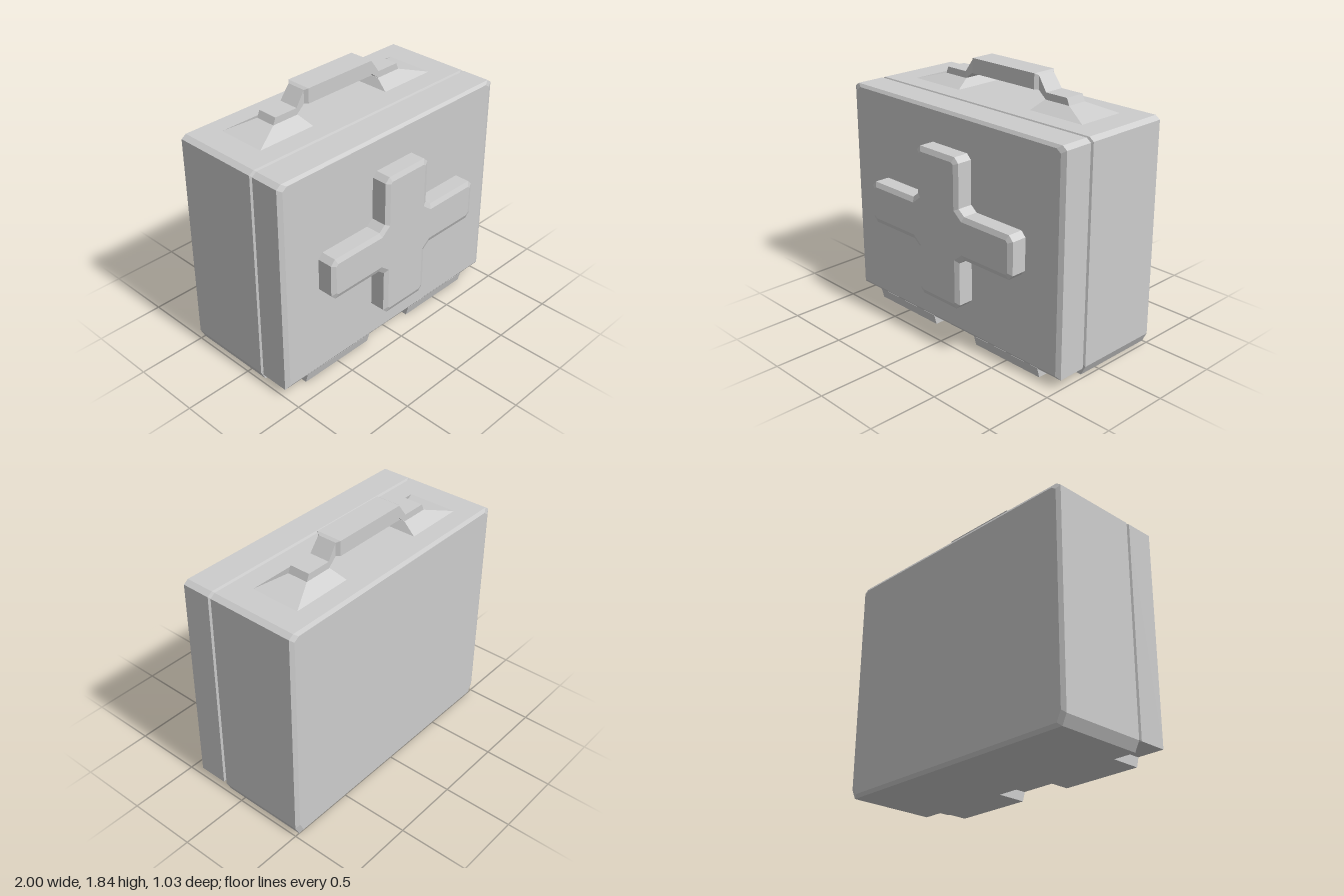
import * as THREE from 'three';

const caseGrey = new THREE.MeshStandardMaterial({ color: 0xcccccc });
caseGrey.name = 'caseGrey';

// Skin a list of equal-length rings [[x,y,z],...], counter-clockwise seen from the far end
function loft(rings) {
  const out = [];
  const tri = (a, b, c) => out.push(...a, ...b, ...c);
  const n = rings[0].length;
  for (let i = 0; i + 1 < rings.length; i++) {
    const r = rings[i], s = rings[i + 1];
    for (let j = 0; j < n; j++) {
      const k = (j + 1) % n;
      tri(r[j], r[k], s[k]);
      tri(r[j], s[k], s[j]);
    }
  }
  const first = rings[0], last = rings[rings.length - 1];
  for (let j = 1; j + 1 < n; j++) {
    tri(first[0], first[j + 1], first[j]);
    tri(last[0], last[j], last[j + 1]);
  }
  const g = new THREE.BufferGeometry();
  g.setAttribute('position', new THREE.Float32BufferAttribute(out, 3));
  g.computeVertexNormals(); // unshared corners give flat facets
  return g;
}

// Place a profile at depth z, pulled in by dx, dy
function slice(profile, z, dx = 0, dy = 0) {
  const mid = 0.8;
  return profile.map(([x, y]) => [x - Math.sign(x) * dx, y - Math.sign(y - mid) * dy, z]);
}

// Horizontal rectangle at height y
const rectY = (y, x0, x1, z0, z1) => [[x0, y, z0], [x0, y, z1], [x1, y, z1], [x1, y, z0]];

// Upright rectangle at position x, centred on the handle line
const HZ = -0.183;
const rectX = (x, y0, y1, h) => [[x, y0, HZ - h], [x, y1, HZ - h], [x, y1, HZ + h], [x, y0, HZ + h]];

export function createModel() {
  const group = new THREE.Group();
  const add = (name, geometry) => {
    const mesh = new THREE.Mesh(geometry, caseGrey);
    mesh.name = name;
    group.add(mesh);
  };

  // Deep rear shell, tapered along the bottom
  const shoulders = [[1, 1.6], [0.965, 1.625], [-0.965, 1.625], [-1, 1.6]];
  const shell = [[-1, 0.07], [-0.965, 0], [0.965, 0], [1, 0.07], ...shoulders];
  add('caseBody', loft([slice(shell, -0.515, 0.03, 0.025), slice(shell, -0.5), slice(shell, 0.14)]));

  // Front lid with the seam groove behind it
  const lid = [[-1, 0.07], [1, 0.07], ...shoulders];
  add('lid', loft([
    slice(lid, 0.14), slice(lid, 0.152, 0.03, 0.025), slice(lid, 0.165),
    slice(lid, 0.375), slice(lid, 0.39, 0.035, 0.022),
  ]));

  // Raised cross: one quarter mirrored around the centre
  const quarter = [[0.69, 0.115], [0.655, 0.152], [0.25, 0.152], [0.2, 0.192], [0.2, 0.5], [0.165, 0.535]];
  const back = [...quarter].reverse();
  const outline = [
    ...quarter, ...back.map(([x, y]) => [-x, y]),
    ...quarter.map(([x, y]) => [-x, -y]), ...back.map(([x, y]) => [x, -y]),
  ].map(([x, y]) => new THREE.Vector2(x, y));
  const cross = new THREE.ExtrudeGeometry(new THREE.Shape(outline), {
    depth: 0.13, bevelThickness: 0.015, bevelSize: 0.035, bevelOffset: -0.035, bevelSegments: 1,
  });
  cross.translate(0, 0.848, 0.37);
  add('raisedCross', cross);

  // Handle lofted from one end block over the grip to the other
  const half = [
    [0.58, 1.68, 1.682, 0.075], [0.56, 1.68, 1.73, 0.075], [0.38, 1.68, 1.73, 0.075],
    [0.31, 1.735, 1.83, 0.07], [0.29, 1.735, 1.842, 0.093],
  ];
  add('handle', loft([
    ...half.map(([x, ...r]) => rectX(-x, ...r)),
    ...[...half].reverse().map((r) => rectX(...r)),
  ]));

  for (const s of [-1, 1]) {
    const side = s > 0 ? 'left' : 'right';
    const span = (a, b) => (s > 0 ? [a, b] : [-b, -a]);

    // Sloped mount under each handle end
    add(side + 'HandleMount', loft([
      rectY(1.62, ...span(0.335, 0.8), -0.375, 0.005),
      rectY(1.682, ...span(0.373, 0.58), HZ - 0.075, HZ + 0.075),
    ]));

    // Supporting tab below the lid
    add(side + 'BottomTab', loft([
      rectY(0, ...span(0.205, 0.8), 0.135, 0.36),
      rectY(0.075, ...span(0.205, 0.8), 0.135, 0.38),
    ]));
  }
  return group;
}
